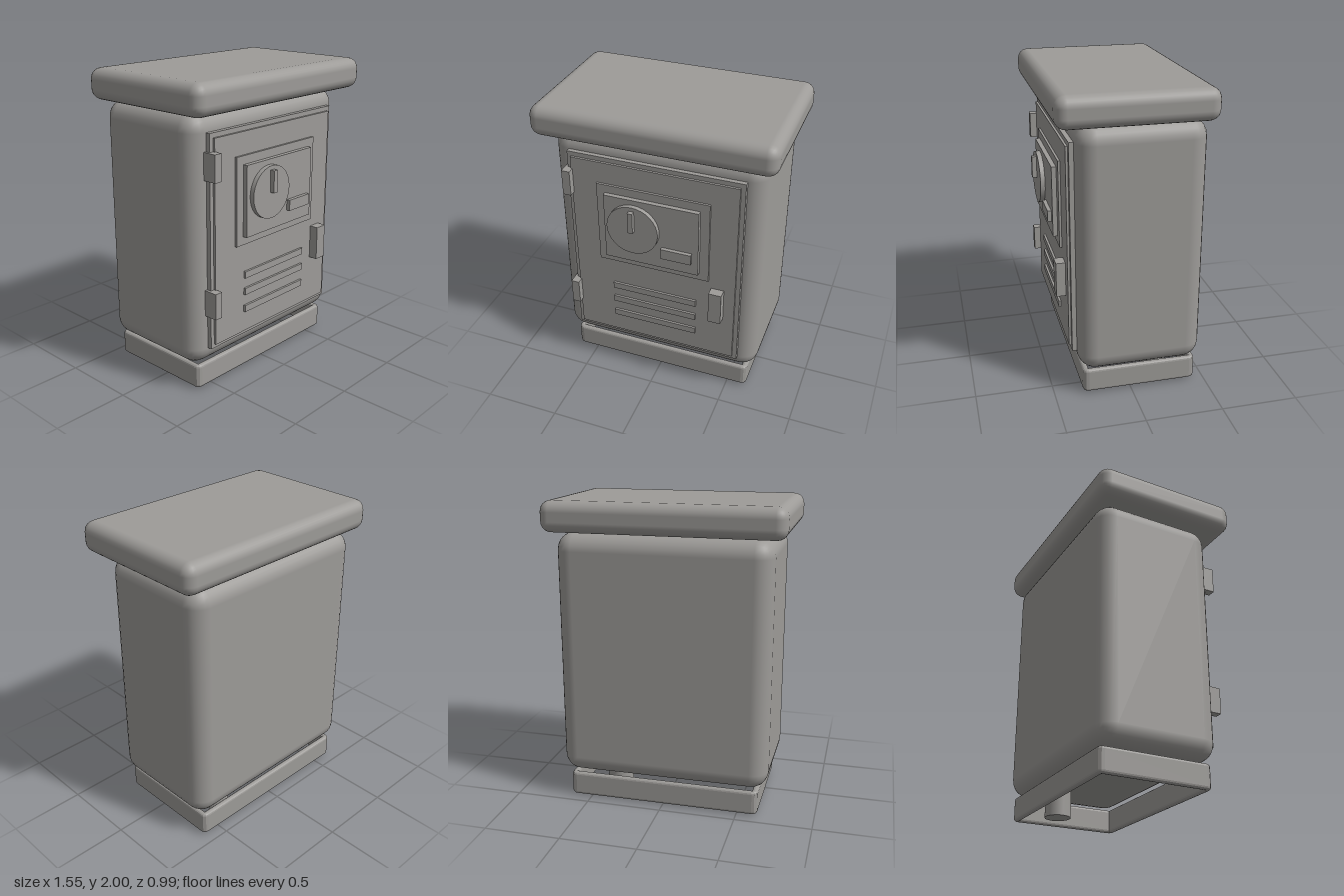
import * as THREE from 'three';
import { RoundedBoxGeometry } from 'three/addons/geometries/RoundedBoxGeometry.js';

const grey = new THREE.MeshStandardMaterial({ color: 0x9d9b98 });
grey.name = 'warm grey';

export function createModel() {
  const model = new THREE.Group();
  model.name = 'meterCabinet';

  const add = (name, geometry, x, y, z) => {
    const mesh = new THREE.Mesh(geometry, grey);
    mesh.name = name;
    mesh.position.set(x, y, z);
    model.add(mesh);
    return mesh;
  };
  // Boxes given by their limits on each axis
  const box = (name, x0, x1, y0, y1, z0, z1) =>
    add(name, new THREE.BoxGeometry(x1 - x0, y1 - y0, z1 - z0),
      (x0 + x1) / 2, (y0 + y1) / 2, (z0 + z1) / 2);
  const rounded = (name, x0, x1, y0, y1, z0, z1, r) =>
    add(name, new RoundedBoxGeometry(x1 - x0, y1 - y0, z1 - z0, 3, r),
      (x0 + x1) / 2, (y0 + y1) / 2, (z0 + z1) / 2);

  // Cabinet and overhanging lid
  rounded('body', -0.695, 0.695, 0.18, 1.8, -0.46, 0.345, 0.115);
  rounded('lid', -0.775, 0.775, 1.8, 2, -0.495, 0.482, 0.07);

  // Open plinth ring with softened edges
  const outline = (target, w, d, r) => {
    target.moveTo(-w + r, -d);
    target.lineTo(w - r, -d).quadraticCurveTo(w, -d, w, -d + r);
    target.lineTo(w, d - r).quadraticCurveTo(w, d, w - r, d);
    target.lineTo(-w + r, d).quadraticCurveTo(-w, d, -w, d - r);
    target.lineTo(-w, -d + r).quadraticCurveTo(-w, -d, -w + r, -d);
    return target;
  };
  const bevel = 0.018;
  const ring = outline(new THREE.Shape(), 0.637 - bevel, 0.375 - bevel, 0.02);
  ring.holes.push(outline(new THREE.Path(), 0.597 + bevel, 0.335 + bevel, 0.01));
  const ringGeometry = new THREE.ExtrudeGeometry(ring, {
    depth: 0.16 - 2 * bevel, bevelEnabled: true, bevelThickness: bevel,
    bevelSize: bevel, bevelSegments: 3, curveSegments: 3,
  });
  ringGeometry.rotateX(-Math.PI / 2);
  add('plinth', ringGeometry, 0, 0.012 + bevel, -0.06);

  // Cable pipe under the cabinet
  add('cablePipe', new THREE.CylinderGeometry(0.085, 0.085, 0.22, 24), 0.345, 0.11, -0.235);

  // Door in its surround
  box('doorSurround', -0.577, 0.577, 0.298, 1.685, 0.3, 0.375);
  box('door', -0.55, 0.548, 0.325, 1.655, 0.37, 0.39);
  for (const y of [0.525, 1.4]) box('hinge', -0.595, -0.54, y, y + 0.172, 0.335, 0.435);
  box('handle', 0.39, 0.475, 0.645, 0.875, 0.38, 0.45);
  for (const y of [0.465, 0.585, 0.7]) box('vent', -0.292, 0.288, y, y + 0.045, 0.38, 0.405);

  // Meter window
  box('meterFrame', -0.375, 0.372, 0.935, 1.51, 0.38, 0.405);
  box('meterPanel', -0.317, 0.312, 0.99, 1.455, 0.4, 0.435);
  const dial = add('dial', new THREE.CylinderGeometry(0.172, 0.172, 0.04, 32), -0.117, 1.25, 0.445);
  dial.rotation.x = Math.PI / 2;
  box('dialPointer', -0.133, -0.1, 1.25, 1.395, 0.46, 0.495);
  box('readout', 0.07, 0.27, 1.078, 1.15, 0.43, 0.46);

  return model;
}
